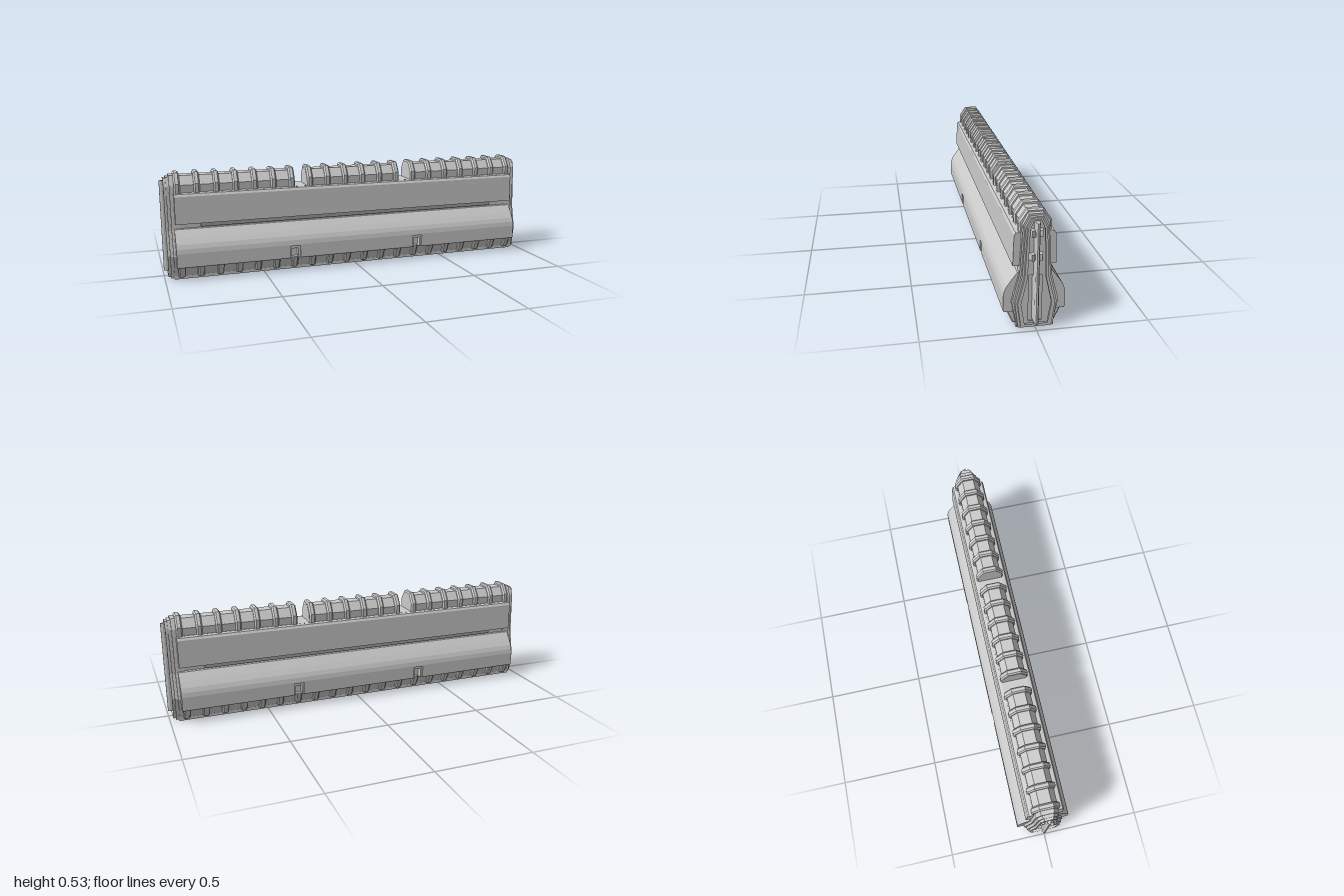
import * as THREE from 'three';

const material = new THREE.MeshStandardMaterial({ color: 0xcccccc, flatShading: true });

// Half outline [z, y], listed bottom to top, mirrored to a closed outline
const mirrored = (half) => [...half, ...half.slice().reverse().map(([z, y]) => [-z, y])];
const toPoints = (outline) => outline.map(([z, y]) => new THREE.Vector2(-z, y));

// Extrude a [z, y] outline from x0 to x1, with optional holes and chamfer
function extrude(parent, name, outline, x0, x1, { holes = [], bevel = 0 } = {}) {
  const shape = new THREE.Shape(toPoints(outline));
  holes.forEach((h) => shape.holes.push(new THREE.Path(toPoints(h))));
  const geometry = new THREE.ExtrudeGeometry(shape, {
    depth: x1 - x0 - 2 * bevel, bevelEnabled: bevel > 0, bevelSize: bevel,
    bevelThickness: bevel, bevelOffset: -bevel, bevelSegments: 1,
  });
  geometry.translate(0, 0, x0 + bevel).rotateY(Math.PI / 2);
  const mesh = new THREE.Mesh(geometry, material);
  mesh.name = name;
  parent.add(mesh);
  return mesh;
}

function box(parent, name, size, position) {
  const mesh = new THREE.Mesh(new THREE.BoxGeometry(...size), material);
  mesh.position.set(...position);
  mesh.name = name;
  parent.add(mesh);
  return mesh;
}

const CORE = mirrored([[0.078, 0.01], [0.1, 0.07], [0.1, 0.16], [0.065, 0.25], [0.065, 0.435]]);
const TOP_RAIL = mirrored([[0.058, 0.43], [0.06, 0.473], [0.03, 0.517]]);
const TOP_RIB = mirrored([[0.07, 0.425], [0.071, 0.48], [0.035, 0.533]]);
const BOTTOM_RIB = mirrored([[0.09, 0.01], [0.094, 0.012], [0.122, 0.075]]);
const UPPER_PANEL = [[0.06, 0.283], [0.095, 0.283], [0.09, 0.42], [0.083, 0.432], [0.06, 0.435]];
const FLANGE = [[0.06, 0.262], [0.079, 0.262], [0.088, 0.284], [0.06, 0.284]];
const PANEL_CURVE = [[0.136, 0.142], [0.132, 0.165], [0.123, 0.187], [0.105, 0.214], [0.075, 0.254], [0.06, 0.258]];
const LOWER_PANEL = [[0.095, 0.07], [0.133, 0.07], [0.136, 0.076], ...PANEL_CURVE, [0.06, 0.235], [0.095, 0.16]];
const LOWER_PANEL_NOTCHED = [[0.095, 0.135], [0.136, 0.135], ...PANEL_CURVE, [0.06, 0.235], [0.095, 0.16]];

// One end of the block: stepped cap, recessed face, channel, rod and lugs
function createEndCap() {
  const cap = new THREE.Group();
  const steps = [
    mirrored([[0.082, 0], [0.082, 0.02], [0.102, 0.122], [0.069, 0.25], [0.056, 0.47], [0.032, 0.52]]),
    mirrored([[0.076, 0.006], [0.091, 0.122], [0.061, 0.247], [0.048, 0.468], [0.027, 0.512]]),
    mirrored([[0.066, 0.012], [0.081, 0.122], [0.052, 0.243], [0.041, 0.466], [0.022, 0.506]]),
  ];
  const field = mirrored([[0.05, 0.025], [0.066, 0.122], [0.04, 0.24], [0.031, 0.462], [0.016, 0.498]]);
  const channel = mirrored([[0.029, 0.026], [0.029, 0.243]]);
  extrude(cap, 'capBase', steps[0], 0.915, 0.935);
  extrude(cap, 'capOuterStep', steps[0], 0.935, 0.955, { holes: [channel] });
  extrude(cap, 'capMiddleStep', steps[1], 0.955, 0.97, { holes: [field] });
  extrude(cap, 'capInnerStep', steps[2], 0.97, 0.982, { holes: [field] });
  // Pointed rod standing proud of the recess
  const rod = new THREE.Shape([
    [0.932, -0.009], [0.988, -0.009], [1, -0.004], [1, 0.004], [0.988, 0.009], [0.932, 0.009],
  ].map(([x, z]) => new THREE.Vector2(x, z)));
  const rodGeometry = new THREE.ExtrudeGeometry(rod, { depth: 0.465, bevelEnabled: false });
  rodGeometry.rotateX(-Math.PI / 2).translate(0, 0.028, 0);
  const rodMesh = new THREE.Mesh(rodGeometry, material);
  rodMesh.name = 'endRod';
  cap.add(rodMesh);
  for (const y of [0.333, 0.44]) {
    for (const s of [-1, 1]) {
      const lug = box(cap, 'endLug', [0.03, 0.03, 0.018], [0.965, y, s * 0.018]);
      lug.rotation.y = s * 0.3;
    }
  }
  return cap;
}

export function createModel() {
  const model = new THREE.Group();
  model.name = 'ribbedBarrier';

  // Central body and base
  extrude(model, 'core', CORE, -0.925, 0.925);
  box(model, 'basePlate', [1.88, 0.016, 0.162], [0, 0.008, 0]);

  // Top rail, broken by two gaps
  for (const [a, b] of [[-0.92, -0.325], [-0.258, 0.258], [0.325, 0.92]]) {
    extrude(model, 'topRail', TOP_RAIL, a, b);
  }

  // Ribs along the top and bottom edges
  const pitch = 0.0967;
  for (let i = 0; i < 20; i++) {
    const x = (i - 9.5) * pitch;
    extrude(model, 'topRib', TOP_RIB, x - 0.015, x + 0.015, { bevel: 0.007 });
    extrude(model, 'bottomRib', BOTTOM_RIB, x - 0.016, x + 0.016, { bevel: 0.006 });
  }

  // Side panels, the same front and back
  const notches = [-0.343, 0.343];
  const half = 0.027;
  for (const s of [1, -1]) {
    const side = new THREE.Group();
    side.name = s > 0 ? 'frontPanels' : 'backPanels';
    const flip = (outline) => outline.map(([z, y]) => [s * z, y]);
    extrude(side, 'upperPanel', flip(UPPER_PANEL), -0.937, 0.937);
    extrude(side, 'panelFlange', flip(FLANGE), -0.812, 0.812);
    const edges = [-0.942, ...notches.flatMap((n) => [n - half, n + half]), 0.942];
    for (let i = 0; i < edges.length - 1; i++) {
      const outline = i % 2 ? LOWER_PANEL_NOTCHED : LOWER_PANEL;
      extrude(side, 'lowerPanel', flip(outline), edges[i], edges[i + 1]);
    }
    // Stepped frame inside each notch
    for (const n of notches) {
      box(side, 'notchLintel', [0.054, 0.014, 0.03], [n, 0.128, s * 0.113]);
      for (const e of [-1, 1]) {
        box(side, 'notchJamb', [0.01, 0.06, 0.03], [n + e * 0.022, 0.1, s * 0.113]);
      }
    }
    model.add(side);
  }

  // Matching end caps
  for (const s of [1, -1]) {
    const cap = createEndCap();
    cap.name = s > 0 ? 'leftEndCap' : 'rightEndCap';
    cap.rotation.y = s > 0 ? 0 : Math.PI;
    model.add(cap);
  }
  return model;
}
